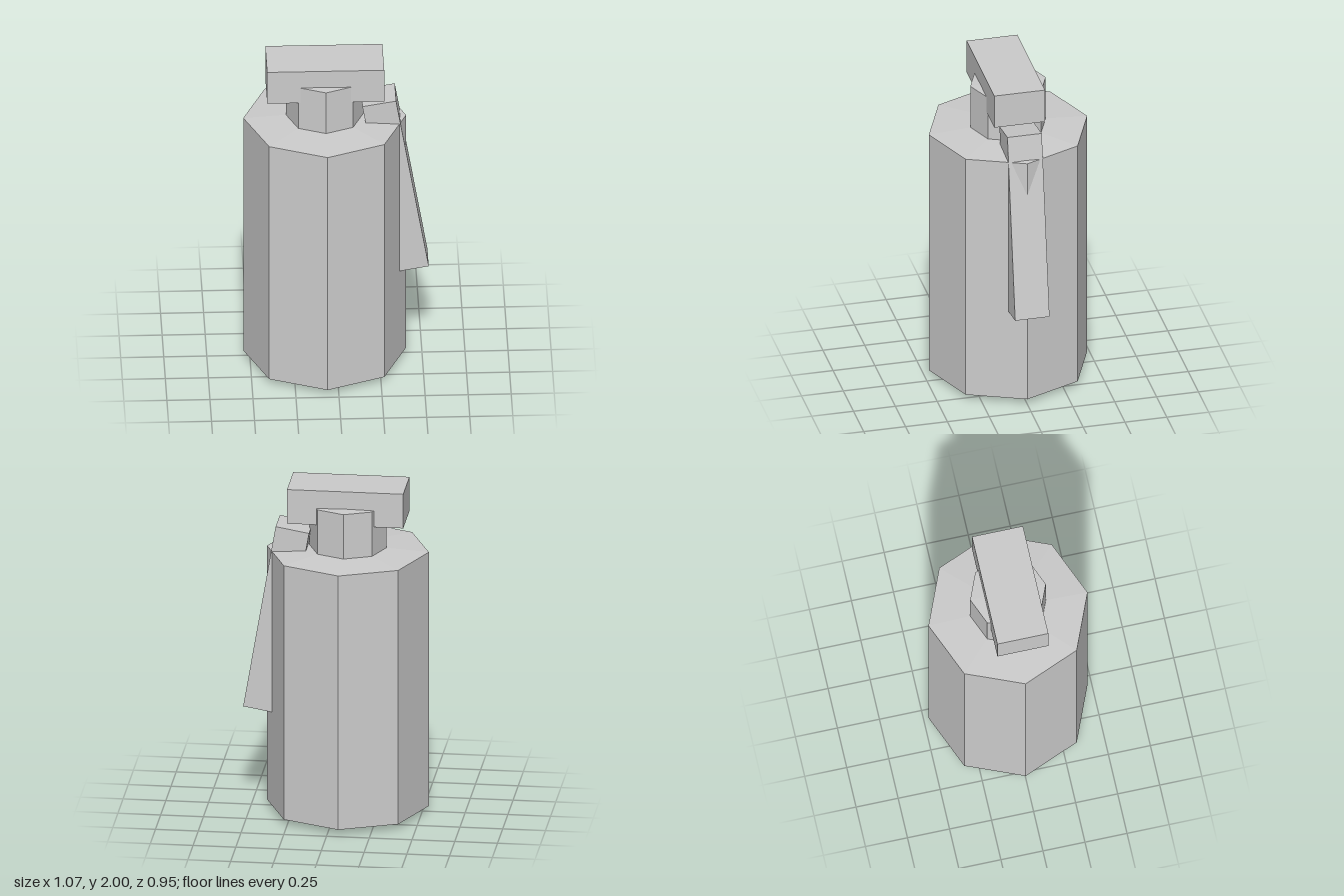
import * as THREE from 'three';

const grey = new THREE.MeshStandardMaterial({ color: 0xcccccc, flatShading: true });
const AXIS_X = -0.065;

export function createModel() {
  const group = new THREE.Group();

  const add = (name, geometry, x, y, z) => {
    const mesh = new THREE.Mesh(geometry, grey);
    mesh.name = name;
    mesh.position.set(x, y, z);
    group.add(mesh);
    return mesh;
  };

  // Eight-sided drum with shallow conical ends
  const drum = (radius, bottomTip, bottom, top, topTip) =>
    new THREE.LatheGeometry([
      new THREE.Vector2(0, bottomTip),
      new THREE.Vector2(radius, bottom),
      new THREE.Vector2(radius, top),
      new THREE.Vector2(0, topTip),
    ], 8);

  add('body', drum(0.473, 0.003, 0.036, 1.6, 1.632), AXIS_X, 0, 0);
  add('neck', drum(0.225, 1.55, 1.56, 1.89, 1.9), AXIS_X, 0, 0);

  // Block lying across the neck
  add('topBar', new THREE.BoxGeometry(0.68, 0.21, 0.303), -0.065, 1.895, 0.013);

  // Slanted lever down the left side, partly sunk in the body
  const lever = add('lever', new THREE.BoxGeometry(0.198, 1.131, 0.205), 0.343, 1.181, 0.001);
  lever.rotation.z = THREE.MathUtils.degToRad(9.67);

  return group;
}
